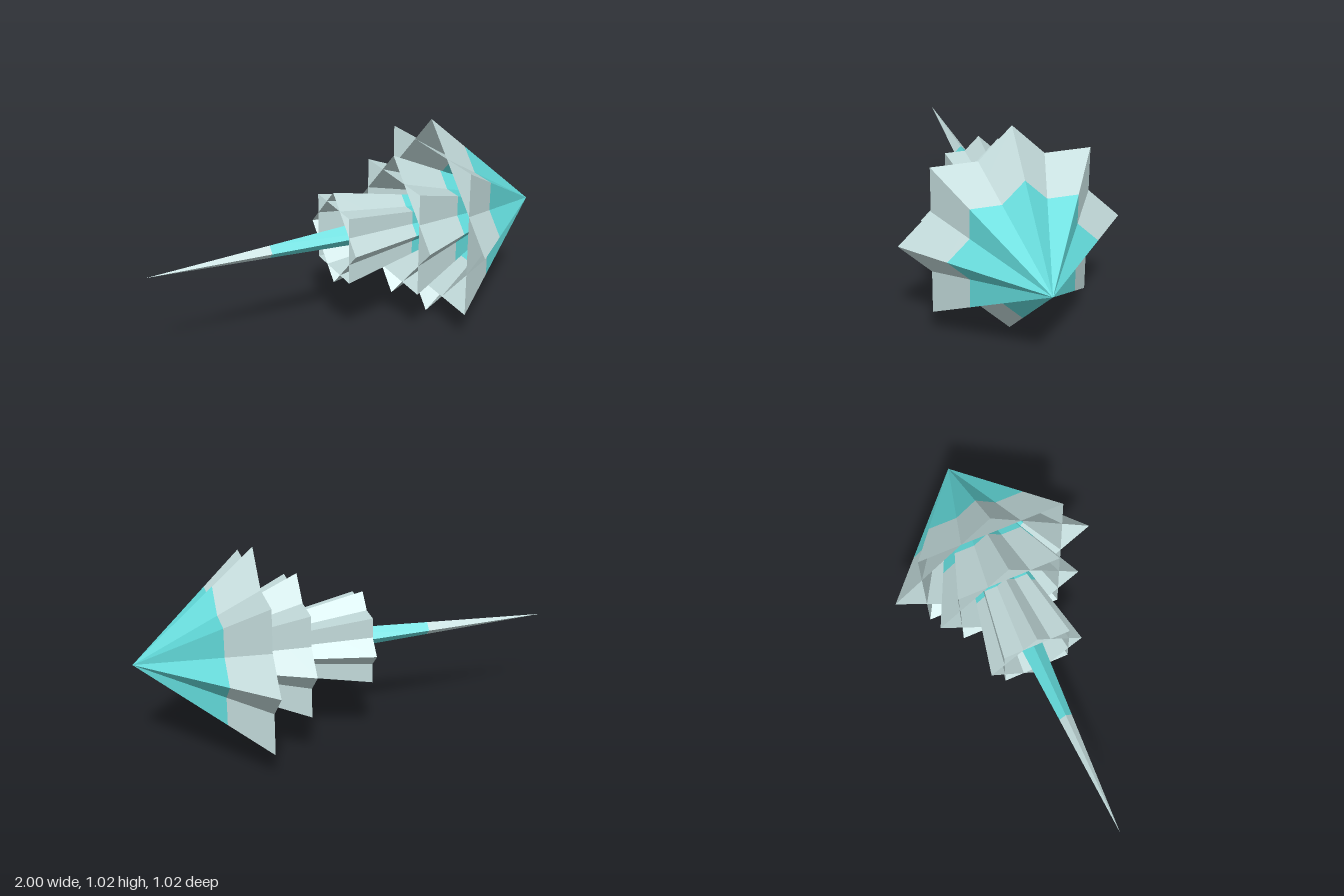
import * as THREE from 'three';

const paleGrey = new THREE.MeshStandardMaterial({ color: 0xc2dada, flatShading: true, side: THREE.DoubleSide });
paleGrey.name = 'pale grey';
const turquoise = new THREE.MeshStandardMaterial({ color: 0x62dada, flatShading: true, side: THREE.DoubleSide });
turquoise.name = 'turquoise';

const AXIS_Y = 0.51;

// Open four-sided section lying along x, from radius r0 at x0 to radius r1 at x1
function section(name, x0, r0, x1, r1, turn, material) {
  const geometry = new THREE.CylinderGeometry(r1, r0, x1 - x0, 4, 1, true);
  geometry.rotateZ(-Math.PI / 2);
  geometry.rotateX(turn);
  geometry.translate((x0 + x1) / 2, 0, 0);
  const mesh = new THREE.Mesh(geometry, material);
  mesh.name = name;
  return mesh;
}

// Two crossed square pyramids form an eight-pointed hollow star; the rear third is grey
function starCone(name, baseX, radius) {
  const group = new THREE.Group();
  group.name = name;
  const splitX = baseX + (1 - baseX) / 3;
  for (const turn of [0, Math.PI / 4]) {
    group.add(section('rearSkirt', baseX, radius, splitX, radius * 2 / 3, turn, paleGrey));
    group.add(section('pointedCap', splitX, radius * 2 / 3, 1, 0, turn, turquoise));
  }
  return group;
}

export function createModel() {
  const model = new THREE.Group();
  model.name = 'starDart';

  // Three nested cones sharing one tip
  model.add(starCone('frontCone', 0.43, 0.51));
  model.add(starCone('middleCone', 0.23, 0.36));
  model.add(starCone('rearCone', -0.085, 0.232));

  // Thin spike tapering to the rear
  const slope = 0.0535;
  const tail = new THREE.Group();
  tail.name = 'tailSpike';
  tail.add(section('tailTip', -1, 0, -0.41, 0.59 * slope, 0, paleGrey));
  tail.add(section('tailRoot', -0.41, 0.59 * slope, 0.5, 1.5 * slope, 0, turquoise));
  model.add(tail);

  for (const part of model.children) part.position.y = AXIS_Y;
  return model;
}
